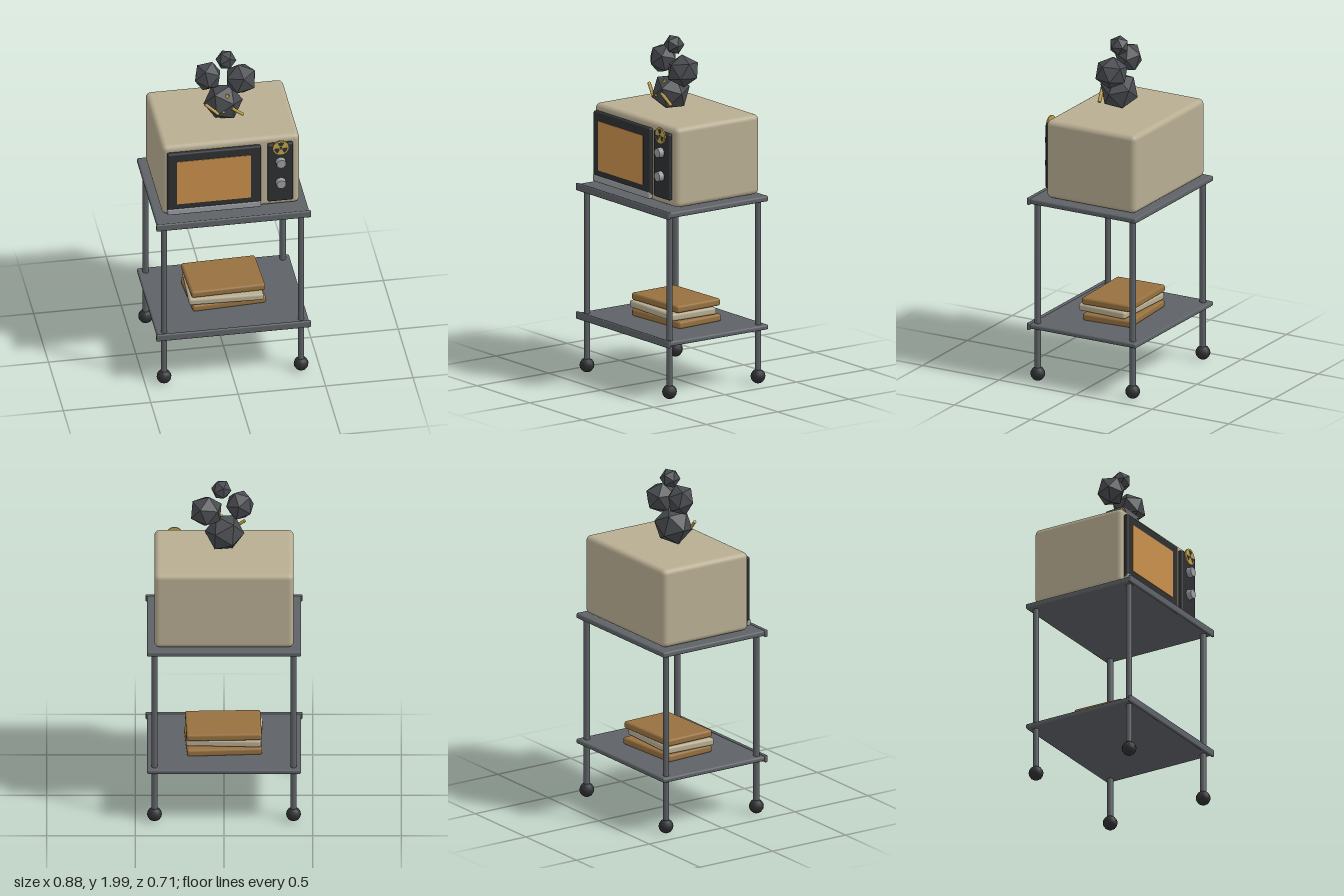
import * as THREE from 'three';
import { RoundedBoxGeometry } from 'three/addons/geometries/RoundedBoxGeometry.js';

const mat = (name, color, flatShading = false) => {
  const m = new THREE.MeshStandardMaterial({ color, flatShading });
  m.name = name;
  return m;
};

export function createModel() {
  const model = new THREE.Group();
  model.name = 'smokingOvenOnCart';

  const steel = mat('steel', 0x5e6266);
  const cream = mat('cream', 0xb8ad92);
  const black = mat('black', 0x2e2f31);
  const amber = mat('amber', 0xc98f4c);
  const silver = mat('silver', 0x9a9da1);
  const gold = mat('gold', 0xbfa04a);
  const brown = mat('brown', 0x96703f);
  const smoke = mat('smoke', 0x484b4f, true);

  const add = (name, geometry, material, x = 0, y = 0, z = 0, parent = model) => {
    const mesh = new THREE.Mesh(geometry, material);
    mesh.name = name;
    mesh.position.set(x, y, z);
    parent.add(mesh);
    return mesh;
  };
  const group = (name) => {
    const g = new THREE.Group();
    g.name = name;
    model.add(g);
    return g;
  };
  // Rounded box given by its lower and upper limits
  const block = (name, material, [x0, x1], [y0, y1], [z0, z1], radius, parent, segments = 2) =>
    add(name, new RoundedBoxGeometry(x1 - x0, y1 - y0, z1 - z0, segments, radius), material,
      (x0 + x1) / 2, (y0 + y1) / 2, (z0 + z1) / 2, parent);

  // Cart: two shelves with front rails, four legs on ball feet
  const cart = group('cart');
  for (const [name, y0, y1] of [['lowerShelf', 0.318, 0.346], ['upperShelf', 1.062, 1.094]]) {
    block(name, steel, [-0.435, 0.435], [y0, y1], [-0.355, 0.345], 0.01, cart);
    const mid = (y0 + y1) / 2;
    block(name + 'Rail', steel, [-0.442, 0.442], [mid - 0.021, mid + 0.021], [0.336, 0.354], 0.006, cart);
  }
  for (const x of [-0.392, 0.392]) for (const z of [-0.31, 0.31]) {
    add('leg', new THREE.CylinderGeometry(0.018, 0.018, 1.02, 12), steel, x, 0.56, z, cart);
    add('ballFoot', new THREE.SphereGeometry(0.042, 12, 8), black, x, 0.046, z, cart);
  }

  // Oven body, door and control panel
  const oven = group('oven');
  block('ovenBody', cream, [-0.393, 0.393], [1.1, 1.563], [-0.325, 0.26], 0.03, oven, 3);
  block('door', black, [-0.367, 0.168], [1.13, 1.525], [0.255, 0.286], 0.01, oven);
  add('doorWindow', new THREE.BoxGeometry(0.424, 0.286, 0.006), amber, -0.103, 1.33, 0.2855, oven);
  block('doorHandle', silver, [-0.367, 0.168], [1.116, 1.156], [0.258, 0.29], 0.008, oven);
  block('controlPanel', black, [0.207, 0.352], [1.142, 1.527], [0.255, 0.286], 0.01, oven);

  // Knobs
  for (const y of [1.41, 1.272]) {
    const knob = add('knob', new THREE.CylinderGeometry(0.027, 0.03, 0.032, 12), silver, 0.279, y, 0.299, oven);
    knob.rotation.x = Math.PI / 2;
  }

  // Warning badge: disc with three blades
  const disc = add('badgeDisc', new THREE.CylinderGeometry(0.047, 0.047, 0.008, 24), gold, 0.279, 1.507, 0.291, oven);
  disc.rotation.x = Math.PI / 2;
  for (let i = 0; i < 3; i++) {
    const middle = Math.PI / 2 + (i * Math.PI * 2) / 3;
    add('badgeBlade', new THREE.RingGeometry(0.012, 0.038, 8, 1, middle - Math.PI / 6, Math.PI / 3),
      black, 0.279, 1.507, 0.2958, oven);
  }
  add('badgeCentre', new THREE.CircleGeometry(0.009, 12), black, 0.279, 1.507, 0.2958, oven);

  // Stack of books
  const books = group('books');
  [
    ['bottomBook', brown, 0.005, 0.366, -0.025, 0.06],
    ['middleBook', cream, -0.002, 0.412, -0.005, -0.035],
    ['topBook', brown, 0.003, 0.458, -0.022, 0.03],
  ].forEach(([name, material, x, y, z, turn]) => {
    const book = add(name, new RoundedBoxGeometry(0.425, 0.042, 0.31, 2, 0.013), material, x, y, z, books);
    book.rotation.y = turn;
  });

  // Faceted smoke puffs
  const plume = group('smokePlume');
  [
    [-0.003, 1.667, 0.01, 0.112, 1, [0.3, 0.5, 0.2]],
    [-0.09, 1.843, 0, 0.084, 1.08, [0.5, 0.9, 0.35]],
    [0.1, 1.805, 0, 0.098, 0.95, [0.2, 0.4, 0.75]],
    [0.015, 1.942, 0, 0.059, 1, [0, 0.3, 0]],
  ].forEach(([x, y, z, r, stretch, turn]) => {
    const puff = add('smokePuff', new THREE.IcosahedronGeometry(r, 0).rotateX(turn[0]).rotateY(turn[1]).rotateZ(turn[2]),
      smoke, x, y, z, plume);
    puff.scale.y = stretch;
  });

  // Gold sparks, each a small rod between two points
  [
    [[-0.117, 1.705, 0.078], [-0.045, 1.645, 0.1]],
    [[0.015, 1.745, 0.06], [-0.02, 1.65, 0.1]],
    [[0.03, 1.678, 0.1], [0.098, 1.615, 0.08]],
  ].forEach(([a, b]) => {
    const from = new THREE.Vector3(...a), to = new THREE.Vector3(...b);
    const along = to.clone().sub(from);
    const rod = add('spark', new THREE.CylinderGeometry(0.01, 0.01, along.length(), 6), gold, 0, 0, 0, plume);
    rod.position.copy(from).add(to).multiplyScalar(0.5);
    rod.quaternion.setFromUnitVectors(new THREE.Vector3(0, 1, 0), along.normalize());
  });

  return model;
}
